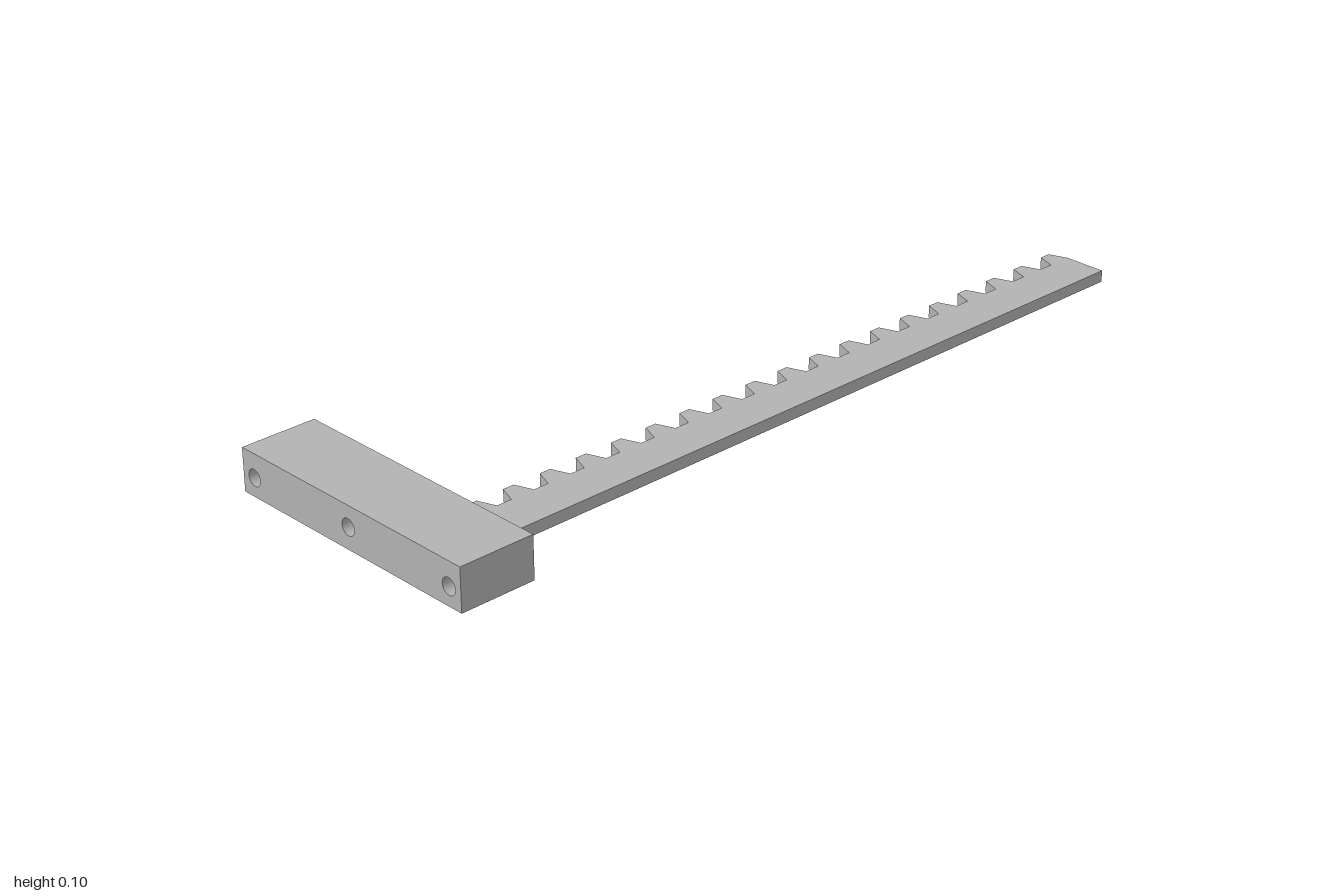
import * as THREE from 'three';

export function createModel() {
  const group = new THREE.Group();
  const grey = new THREE.MeshStandardMaterial({ color: 0xb2b2b2 });
  grey.name = 'grey';

  // Mounting block: drawn as z/y outline with bolt holes, extruded along x
  const W = 0.345, H = 0.102, depth = 0.184;
  const outline = new THREE.Shape();
  outline.moveTo(-W, 0).lineTo(W, 0).lineTo(W, H).lineTo(-W, H).closePath();
  for (const [z, y] of [[-0.308, 0.045], [0, 0.052], [0.309, 0.045]]) {
    const hole = new THREE.Path();
    hole.absarc(-z, y, 0.0195, 0, Math.PI * 2, true);
    outline.holes.push(hole);
  }
  const blockGeo = new THREE.ExtrudeGeometry(outline, { depth, bevelEnabled: false, curveSegments: 24 });
  blockGeo.rotateY(Math.PI / 2); // shape x becomes -z, extrusion becomes +x
  blockGeo.translate(-1, 0, 0);
  const block = new THREE.Mesh(blockGeo, grey);
  block.name = 'mountingBlock';
  group.add(block);

  // Toothed rack: plan outline in x and -z, extruded upwards
  const x0 = -1 + depth, x1 = 1, front = 0.27, root = 0.166, tip = 0.122;
  const teeth = 19, halfRoot = 0.03, halfTip = 0.014;
  const first = x0 + halfRoot, pitch = (x1 - halfRoot - first) / (teeth - 1);
  const plan = new THREE.Shape();
  plan.moveTo(x0, -front);
  plan.lineTo(x1, -front);
  for (let i = teeth - 1; i >= 0; i--) {
    const c = first + i * pitch;
    plan.lineTo(c + halfRoot, -root);
    plan.lineTo(c + halfTip, -tip);
    plan.lineTo(c - halfTip, -tip);
    plan.lineTo(c - halfRoot, -root);
  }
  plan.closePath();
  const rackGeo = new THREE.ExtrudeGeometry(plan, { depth: 0.028, bevelEnabled: false });
  rackGeo.rotateX(-Math.PI / 2);
  rackGeo.translate(0, 0.045, 0);
  const rack = new THREE.Mesh(rackGeo, grey);
  rack.name = 'toothedRack';
  group.add(rack);

  return group;
}
